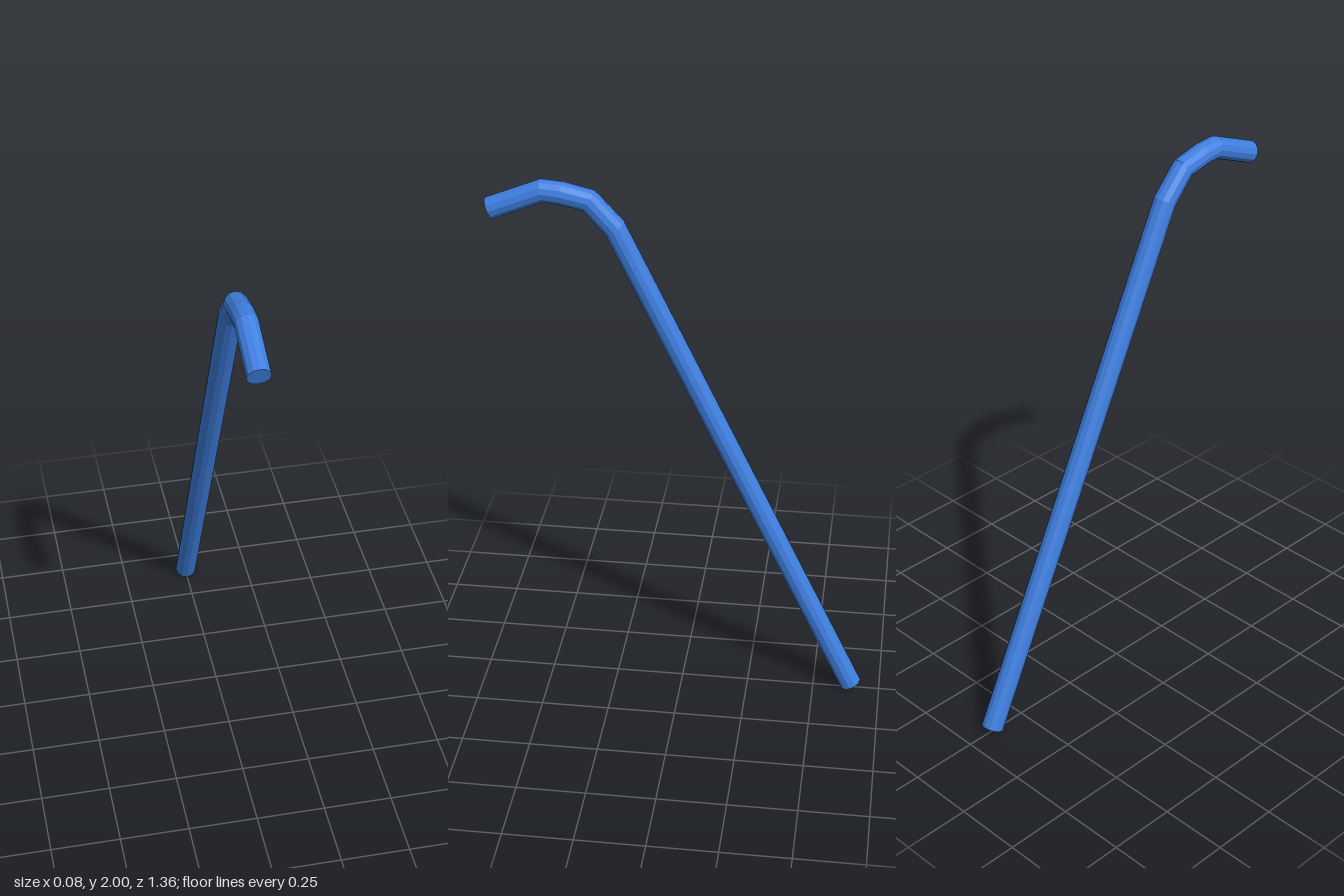
import * as THREE from 'three';

// Centre line of the bent rod in the side plane, foot to tip: [z, y]
const PATH = [
  [-0.642, 0.018], [0.233, 1.838], [0.32, 1.934],
  [0.416, 1.956], [0.482, 1.962], [0.665, 1.889],
].map(([z, y]) => new THREE.Vector3(0, y, z));
const RADIUS = 0.0405;
const SIDES = 12;

// Closed cylinder whose rings are moved onto the path
function bentRod(path, radius, sides) {
  const last = path.length - 1;
  const geo = new THREE.CylinderGeometry(radius, radius, 1, sides, last);
  const side = new THREE.Vector3(1, 0, 0);
  const frames = path.map((p, i) => {
    const dir = new THREE.Vector3();
    if (i > 0) dir.add(p.clone().sub(path[i - 1]).normalize());
    if (i < last) dir.add(path[i + 1].clone().sub(p).normalize());
    return { p, normal: side.clone().cross(dir.normalize()) };
  });
  const pos = geo.attributes.position;
  const v = new THREE.Vector3();
  for (let i = 0; i < pos.count; i++) {
    const { p, normal } = frames[Math.round((pos.getY(i) + 0.5) * last)];
    v.copy(p).addScaledVector(side, pos.getX(i)).addScaledVector(normal, pos.getZ(i));
    pos.setXYZ(i, v.x, v.y, v.z);
  }
  geo.computeVertexNormals();
  return geo;
}

export function createModel() {
  const group = new THREE.Group();
  group.name = 'bentRod';

  // Straight leaning shaft, rounded bend and short drooping tip
  const material = new THREE.MeshStandardMaterial({ color: 0x3f7fe0, flatShading: true });
  const rod = new THREE.Mesh(bentRod(PATH, RADIUS, SIDES), material);
  rod.name = 'rod';
  group.add(rod);

  return group;
}
